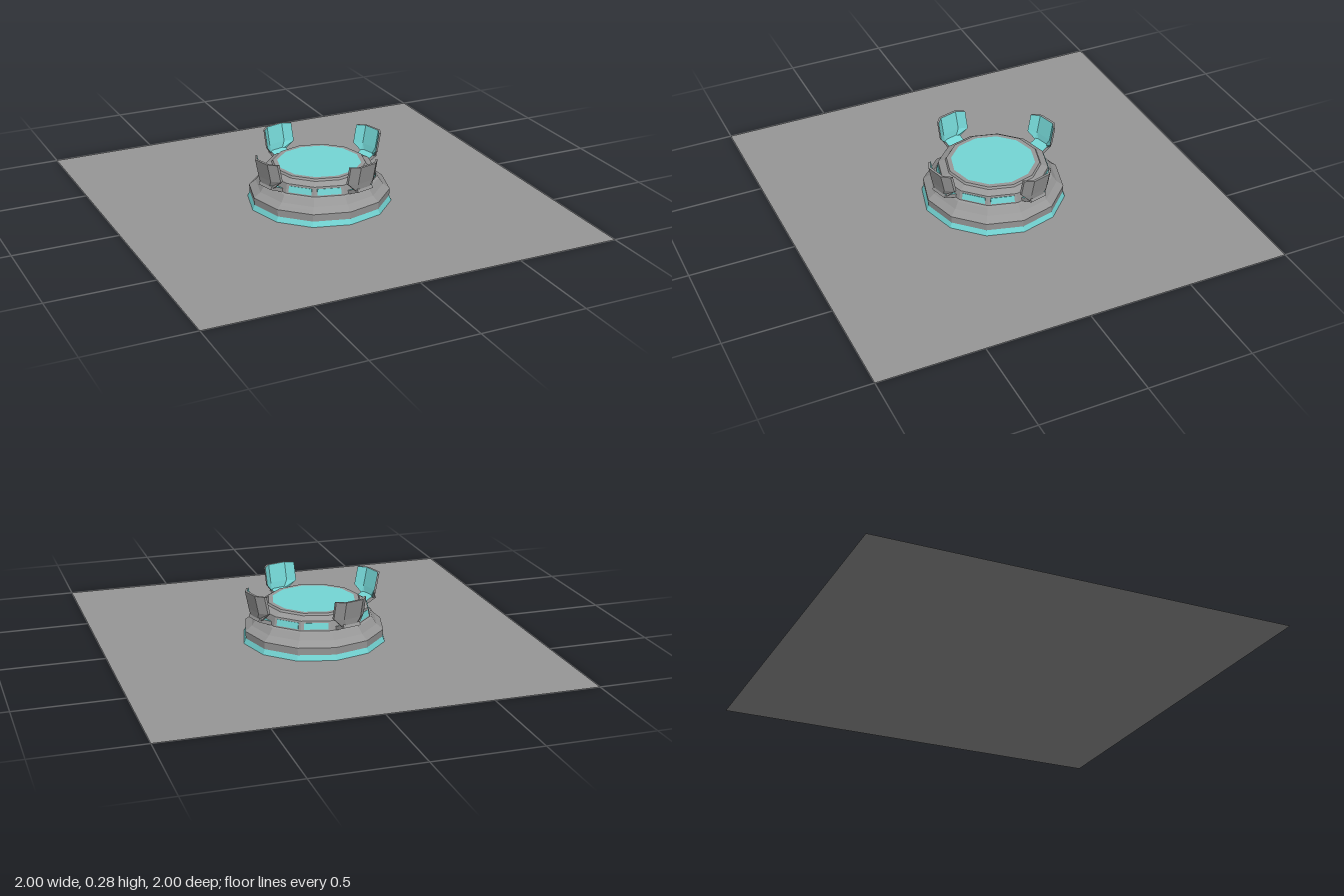
import * as THREE from 'three';

const SIDES = 12;

function material(name, color, double = false) {
  const m = new THREE.MeshStandardMaterial({ color, flatShading: true });
  m.name = name;
  if (double) m.side = THREE.DoubleSide;
  return m;
}

function lathe(name, profile, mat) {
  const points = profile.map(([r, y]) => new THREE.Vector2(r, y));
  const mesh = new THREE.Mesh(new THREE.LatheGeometry(points, SIDES), mat);
  mesh.name = name;
  return mesh;
}

// Curved shield plate facing +z: group 0 is the outer face and rim, group 1 the inner face
function shieldGeometry() {
  const rows = [[0.15, 0.325, 0.046], [0.188, 0.336, 0.082], [0.275, 0.355, 0.082]];
  const columns = [-1, -0.55, 0.55, 1];
  const thickness = 0.012;
  const at = (i, j, inner) => {
    const [y, r, half] = rows[i];
    const x = columns[j] * half;
    const bow = 0.035 * Math.pow(Math.abs(x) / 0.082, 3);
    return [x, y, r - bow - (inner ? thickness : 0)];
  };
  const outer = [], inner = [];
  const quad = (list, a, b, c, d) => list.push(...a, ...b, ...c, ...a, ...c, ...d);
  const lastRow = rows.length - 1, lastCol = columns.length - 1;
  for (let i = 0; i < lastRow; i++) {
    for (let j = 0; j < lastCol; j++) {
      quad(outer, at(i, j), at(i, j + 1), at(i + 1, j + 1), at(i + 1, j));
      quad(inner, at(i, j + 1, true), at(i, j, true), at(i + 1, j, true), at(i + 1, j + 1, true));
    }
    // side rims
    quad(outer, at(i, 0, true), at(i, 0), at(i + 1, 0), at(i + 1, 0, true));
    quad(outer, at(i, lastCol), at(i, lastCol, true), at(i + 1, lastCol, true), at(i + 1, lastCol));
  }
  // bottom and top rims
  for (let j = 0; j < lastCol; j++) {
    quad(outer, at(0, j, true), at(0, j + 1, true), at(0, j + 1), at(0, j));
    quad(outer, at(lastRow, j), at(lastRow, j + 1), at(lastRow, j + 1, true), at(lastRow, j, true));
  }
  const geometry = new THREE.BufferGeometry();
  geometry.setAttribute('position', new THREE.Float32BufferAttribute([...outer, ...inner], 3));
  geometry.addGroup(0, outer.length / 3, 0);
  geometry.addGroup(outer.length / 3, inner.length / 3, 1);
  geometry.computeVertexNormals();
  return geometry;
}

export function createModel() {
  const model = new THREE.Group();
  model.name = 'landingPad';
  const gray = material('gray metal', 0x989898);
  const groundGray = material('ground gray', 0x979797, true);
  const cyan = material('cyan glow', 0x74d6d5);

  // Ground sheet
  const ground = new THREE.Mesh(new THREE.PlaneGeometry(2, 2).rotateX(-Math.PI / 2), groundGray);
  ground.name = 'ground';
  model.add(ground);

  // Stepped pedestal
  model.add(lathe('baseRim', [[0.345, 0], [0.335, 0.025]], cyan));
  model.add(lathe('pedestal', [
    [0.335, 0.025], [0.337, 0.06], [0.318, 0.075], [0.305, 0.085], [0.283, 0.115],
    [0.272, 0.12], [0.262, 0.165], [0.228, 0.18], [0.222, 0.19], [0.2, 0.19],
  ], gray));
  const disc = new THREE.Mesh(new THREE.CircleGeometry(0.2, SIDES).rotateX(-Math.PI / 2), cyan);
  disc.name = 'topDisc';
  disc.position.y = 0.19;
  model.add(disc);

  const shield = shieldGeometry();
  const armGeometry = new THREE.BoxGeometry(0.09, 0.018, 0.085);
  const windowGeometry = new THREE.BoxGeometry(0.112, 0.03, 0.006);
  const slope = Math.atan2(0.01 * Math.cos(Math.PI / SIDES), 0.045);

  for (let i = 0; i < SIDES; i++) {
    const facet = new THREE.Group();
    facet.rotation.y = (i + 0.5) * 2 * Math.PI / SIDES;
    if (i % 3 === 0) {
      // Shield on a sloping arm
      facet.name = 'shieldUnit';
      const plate = new THREE.Mesh(shield, [gray, cyan]);
      plate.name = 'shield';
      const arm = new THREE.Mesh(armGeometry, [gray, gray, cyan, gray, gray, gray]);
      arm.name = 'arm';
      arm.position.set(0, 0.138, 0.288);
      arm.rotation.x = -0.4;
      facet.add(plate, arm);
    } else {
      // Glowing window
      facet.name = 'windowFacet';
      const pane = new THREE.Mesh(windowGeometry, cyan);
      pane.name = 'window';
      pane.position.set(0, 0.141, 0.2674 * Math.cos(Math.PI / SIDES));
      pane.rotation.x = -slope;
      facet.add(pane);
    }
    model.add(facet);
  }
  return model;
}
